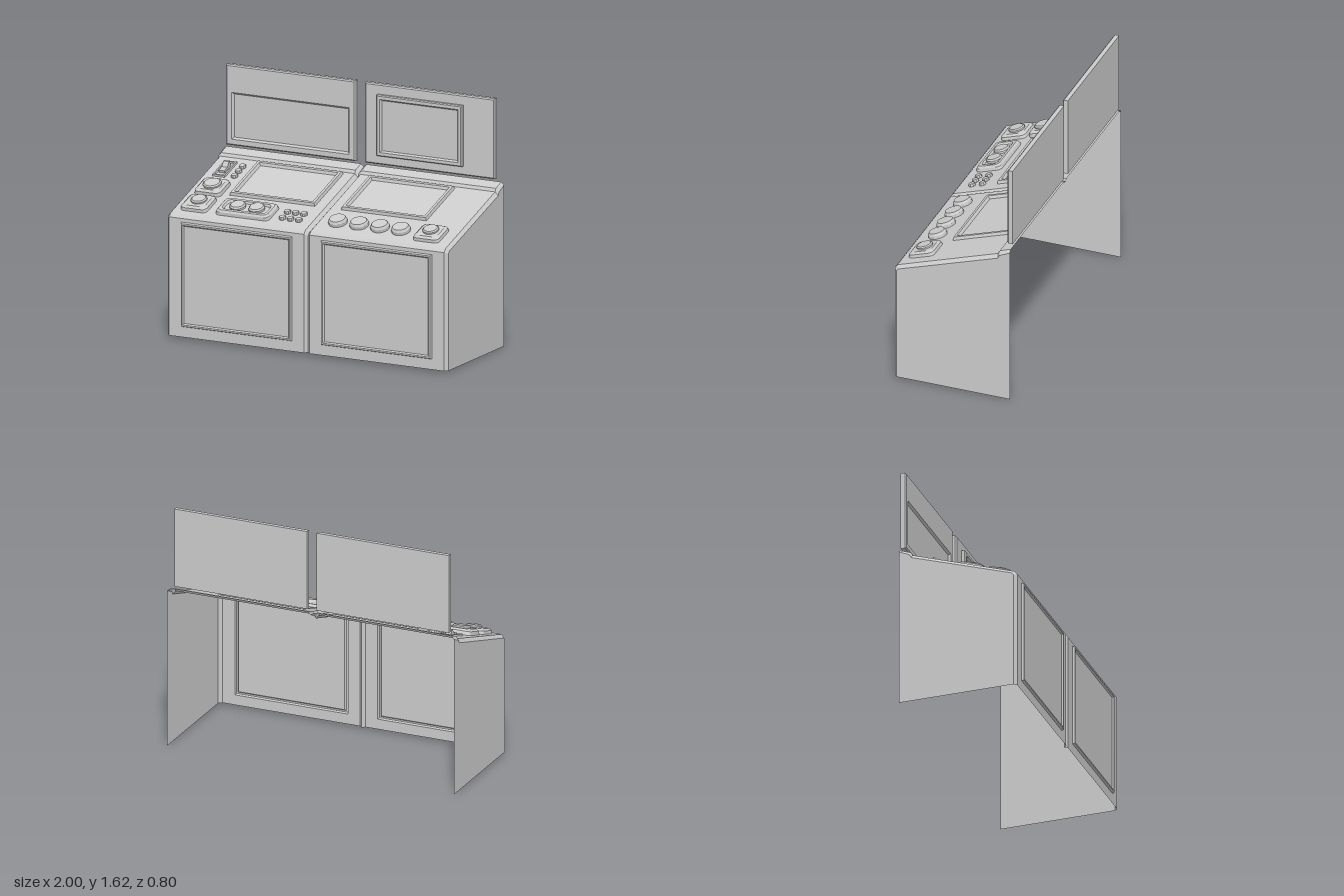
import * as THREE from 'three';

const material = new THREE.MeshStandardMaterial({ color: 0xcccccc, flatShading: true, side: THREE.DoubleSide });

// Control surface plane: starts at the front edge and climbs towards the back
const DECK = { z: 0.366, y: 0.813, z2: -0.315, y2: 1.026 };
const slope = Math.atan2(DECK.y2 - DECK.y, DECK.z - DECK.z2);
const along = z => (DECK.z - z) / Math.cos(slope);

function add(parent, name, geometry) {
  const mesh = new THREE.Mesh(geometry, material);
  mesh.name = name;
  parent.add(mesh);
  return mesh;
}

function facets(polygons) {
  const pos = [];
  for (const p of polygons)
    for (let i = 1; i < p.length - 1; i++) pos.push(...p[0], ...p[i], ...p[i + 1]);
  const g = new THREE.BufferGeometry();
  g.setAttribute('position', new THREE.Float32BufferAttribute(pos, 3));
  g.computeVertexNormals();
  return g;
}

// Outline of a rectangle [x0, x1, y0, y1] with rounded corners, counter-clockwise
function outline([x0, x1, y0, y1], r = 0, inset = 0) {
  const n = r ? 3 : 0, pts = [];
  const corners = [[x1, y1, -1, -1], [x0, y1, 1, -1], [x0, y0, 1, 1], [x1, y0, -1, 1]];
  corners.forEach(([x, y, sx, sy], q) => {
    for (let i = 0; i <= n; i++) {
      const a = (q + (n ? i / n : 0)) * Math.PI / 2;
      const c = r ? r * Math.cos(a) : 0, s = r ? r * Math.sin(a) : 0;
      pts.push([x + sx * (r + inset) + c, y + sy * (r + inset) + s]);
    }
  });
  return pts;
}

// Stepped shell: concentric outlines given as [inset, height], closed by a flat cap
function stepped(rect, steps, r = 0) {
  const rings = steps.map(([inset, h]) => outline(rect, r, inset).map(p => [...p, h]));
  const polys = [rings[rings.length - 1]];
  for (let k = 0; k < rings.length - 1; k++) {
    const a = rings[k], b = rings[k + 1];
    a.forEach((p, i) => {
      const j = (i + 1) % a.length;
      polys.push([p, a[j], b[j], b[i]]);
    });
  }
  return facets(polys);
}

// Flat sheet with openings for the hollow parts that stand on it
function sheet(rect, openings) {
  const toV = ([x, y]) => new THREE.Vector2(x, y);
  const shape = new THREE.Shape(outline(rect).map(toV));
  for (const [hole, r] of openings) shape.holes.push(new THREE.Path(outline(hole, r).map(toV)));
  return new THREE.ShapeGeometry(shape);
}

function button(parent, name, x, z, r, base, top, sides = 12) {
  const h = top - base;
  const profile = [[r, 0], [r, h * 0.55], [r * 0.84, h], [0, h]].map(p => new THREE.Vector2(...p));
  const g = new THREE.LatheGeometry(profile, sides).rotateX(Math.PI / 2);
  add(parent, name, g).position.set(x, along(z), base);
}

// Cabinet profile [z, y]: full outline and the set-back outline at the unit's ends
const FULL = [[0.385, 0.015], [0.385, 0.79], [DECK.z, DECK.y], [DECK.z2, DECK.y2], [-0.325, 1.047], [-0.4, 1.072]];
const ENDS = [[0.365, 0.015], [0.365, 0.78], [0.352, 0.795], [-0.318, 1.002], [-0.33, 1.024], [-0.4, 1.054]];

function cabinet(parent, x0, x1) {
  const stations = [[x0, ENDS], [x0 + 0.02, FULL], [x1 - 0.02, FULL], [x1, ENDS]];
  const polys = [];
  for (let k = 0; k < 3; k++)
    for (let j = 0; j < FULL.length - 1; j++) {
      if (k === 1 && (j === 0 || j === 2)) continue; // front and deck are separate sheets
      const [xa, a] = stations[k], [xb, b] = stations[k + 1];
      const at = (x, [z, y]) => [x, y, z];
      polys.push([at(xa, a[j]), at(xb, b[j]), at(xb, b[j + 1]), at(xa, a[j + 1])]);
    }
  add(parent, 'cabinetEdges', facets(polys));
}

function sideWall(parent, side) {
  const shape = new THREE.Shape([...ENDS, [-0.4, 0]].map(([z, y]) => new THREE.Vector2(-z * side, y)));
  add(parent, 'sideWall', new THREE.ShapeGeometry(shape).rotateY(side * Math.PI / 2)).position.x = side;
}

const deckRect = (x0, x1, zFront, zBack) => [x0, x1, along(zFront), along(zBack)];

const FRAME = [[0, 0], [0.006, 0.02], [0.024, 0.02], [0.034, 0.002]];
const PAD = [[0, 0], [0.004, 0.02], [0.02, 0.032]];
const TALL_PAD = [[0, 0], [0.004, 0.024], [0.02, 0.037]];
const TRAY = [[0, 0], [0.004, 0.02], [0.016, 0.032], [0.034, 0.032], [0.042, 0.018]];
const SWITCH = [[0, 0], [0.002, 0.012], [0.012, 0.012], [0.016, 0.002]];

// Parts on each deck: name, rectangle, steps, corner radius
const UNITS = [
  {
    name: 'leftHandUnit', x0: -1, x1: 0, door: [-0.896, -0.104, 0.083, 0.766],
    parts: [
      ['screenFrame', deckRect(-0.7, -0.092, 0.095, -0.297), FRAME, 0],
      ['tallButtonPad', deckRect(-0.94, -0.75, 0.135, -0.038), TALL_PAD, 0.03],
      ['buttonPad', deckRect(-0.94, -0.75, 0.325, 0.152), PAD, 0.03],
      ['buttonTray', deckRect(-0.69, -0.307, 0.325, 0.152), TRAY, 0.03],
      ['switchPlate', deckRect(-0.92, -0.83, -0.09, -0.263), SWITCH, 0],
    ],
  },
  {
    name: 'rightHandUnit', x0: 0, x1: 1, door: [0.104, 0.892, 0.083, 0.766],
    parts: [
      ['screenFrame', deckRect(0.095, 0.703, 0.095, -0.297), FRAME, 0],
      ['buttonPad', deckRect(0.717, 0.905, 0.325, 0.152), PAD, 0.03],
    ],
  },
];

function buildUnit({ name, x0, x1, door, parts }) {
  const unit = new THREE.Group();
  unit.name = name;
  cabinet(unit, x0, x1);
  sideWall(unit, x0 < 0 ? -1 : 1);

  // Front with its framed panel
  const front = new THREE.Group();
  front.name = 'front';
  front.position.z = 0.385;
  add(front, 'frontSheet', sheet([x0 + 0.02, x1 - 0.02, 0.015, 0.79], [[door, 0]]));
  add(front, 'frontPanel', stepped(door, [[0, 0], [0.006, 0.015], [0.016, 0.015], [0.024, 0.005]]));
  unit.add(front);

  // Sloping control deck
  const deck = new THREE.Group();
  deck.name = 'controlDeck';
  deck.position.set(0, DECK.y, DECK.z);
  deck.rotation.x = slope - Math.PI / 2;
  add(deck, 'deckSheet', sheet([x0 + 0.02, x1 - 0.02, 0, along(DECK.z2)], parts.map(p => [p[1], p[3]])));
  for (const [part, rect, steps, r] of parts) add(deck, part, stepped(rect, steps, r));
  unit.add(deck);
  return { unit, deck };
}

export function createModel() {
  const model = new THREE.Group();
  model.name = 'controlConsole';
  const [a, b] = UNITS.map(buildUnit);
  model.add(a.unit, b.unit);

  // Large buttons
  button(a.deck, 'padButton', -0.84, 0.052, 0.06, 0.037, 0.054);
  button(a.deck, 'padButton', -0.84, 0.235, 0.053, 0.032, 0.049);
  for (const x of [-0.565, -0.43]) button(a.deck, 'trayButton', x, 0.235, 0.053, 0.018, 0.042);
  for (const x of [0.147, 0.299, 0.447, 0.596]) button(b.deck, 'roundButton', x, 0.237, 0.062, 0, 0.035);
  button(b.deck, 'padButton', 0.812, 0.235, 0.053, 0.032, 0.049);

  // Small buttons
  for (const z of [-0.225, -0.17, -0.113]) button(a.deck, 'smallButton', -0.772, z, 0.023, 0, 0.018, 8);
  for (const x of [-0.23, -0.172, -0.113])
    for (const z of [0.202, 0.273]) button(a.deck, 'smallButton', x, z, 0.023, 0, 0.018, 8);

  // Rocker switch
  const rocker = new THREE.Shape([[-0.045, 0], [0.045, 0], [0.042, 0.04], [0.03, 0.04], [0, 0.016], [-0.045, 0.016]]
    .map(p => new THREE.Vector2(...p)));
  const g = new THREE.ExtrudeGeometry(rocker, { depth: 0.04, bevelEnabled: false });
  g.applyMatrix4(new THREE.Matrix4().makeBasis(
    new THREE.Vector3(0, 1, 0), new THREE.Vector3(0, 0, 1), new THREE.Vector3(1, 0, 0)));
  add(a.deck, 'rockerSwitch', g).position.set(-0.895, along(-0.178), 0.002);

  // Upright display boards
  const board = [[0, 0], [0, 0.028], [0.008, 0.036]];
  const boards = new THREE.Group();
  boards.name = 'displayBoards';
  boards.position.z = -0.4;
  model.add(boards);
  const leftRect = [-0.965, -0.043, 1.092, 1.618], rightRect = [0.025, 0.95, 1.092, 1.618];
  for (const rect of [leftRect, rightRect]) {
    add(boards, 'boardBack', sheet(rect, [])).rotation.x = 0;
    add(boards, 'boardRim', stepped(rect, board.slice(0, 2)).clone()).visible = false;
  }
  boards.clear();
  const window = [-0.924, -0.086, 1.132, 1.438], monitor = [0.12, 0.73, 1.153, 1.552];
  for (const [rect, hole] of [[leftRect, window], [rightRect, monitor]]) {
    const [x0, x1, y0, y1] = rect;
    const rim = outline(rect).map(p => [...p, 0]);
    const mid = outline(rect).map(p => [...p, 0.028]);
    const top = outline(rect, 0, 0.008).map(p => [...p, 0.036]);
    const polys = [[...rim].reverse()];
    rim.forEach((p, i) => {
      const j = (i + 1) % 4;
      polys.push([p, rim[j], mid[j], mid[i]], [mid[i], mid[j], top[j], top[i]]);
    });
    add(boards, 'boardShell', facets(polys));
    add(boards, 'boardFace', sheet([x0 + 0.008, x1 - 0.008, y0 + 0.008, y1 - 0.008], [[hole, 0]])).position.z = 0.036;
  }
  add(boards, 'boardWindow', stepped(window, [[0, 0.036], [0.012, 0.022]]));
  add(boards, 'boardMonitor', stepped(monitor, [[0, 0.036], [0, 0.056], [0.006, 0.064], [0.026, 0.064], [0.036, 0.05]]));
  return model;
}
